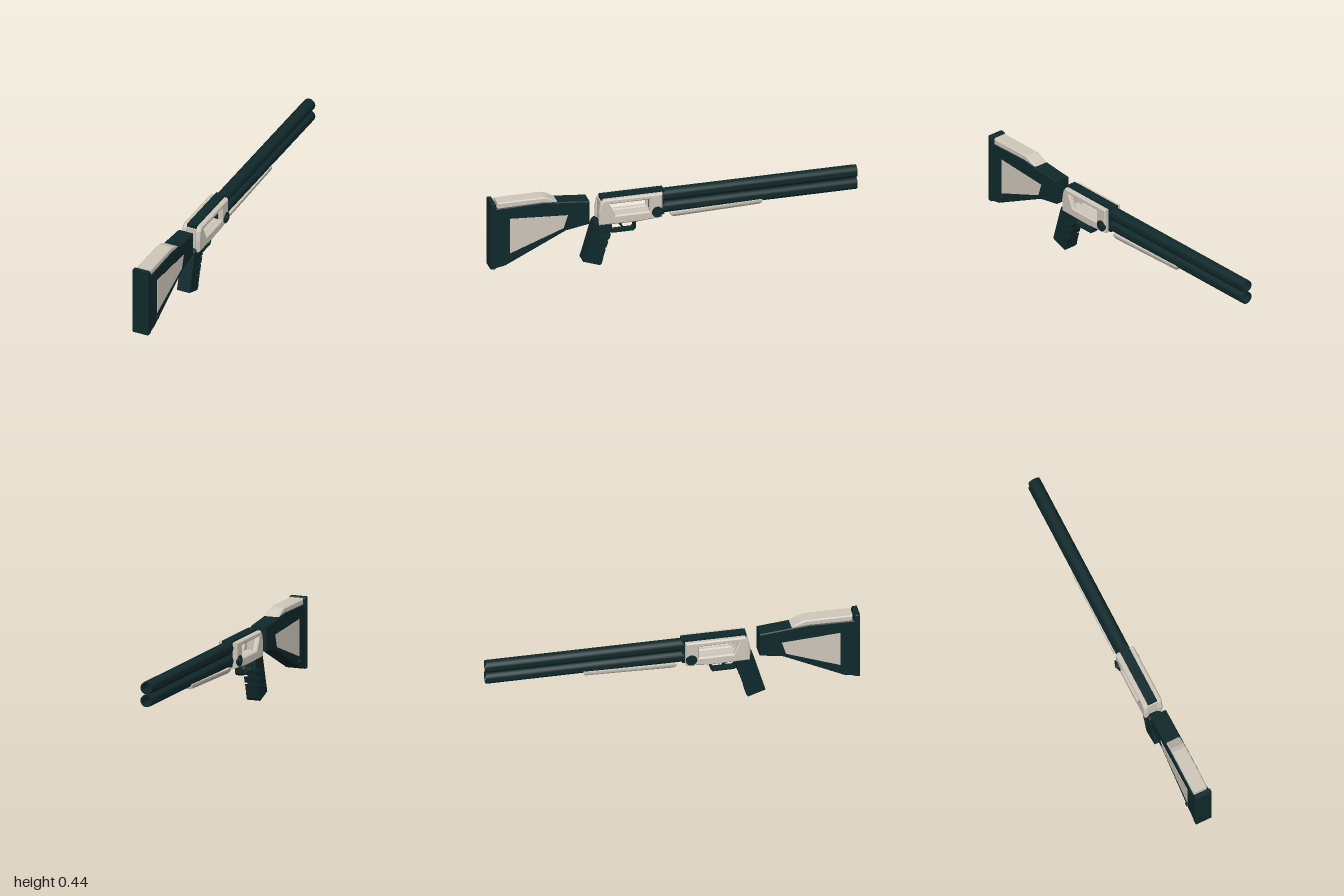
import * as THREE from 'three';
import { toCreasedNormals } from 'three/addons/utils/BufferGeometryUtils.js';

const dark = new THREE.MeshStandardMaterial({ color: 0x10292b });
dark.name = 'dark teal';
const pale = new THREE.MeshStandardMaterial({ color: 0xcfc8bc });
pale.name = 'warm grey';

const toShape = (pts, Kind = THREE.Shape) => new Kind(pts.map(([u, v]) => new THREE.Vector2(u, v)));

// Side profile given as [z, y] points, extruded across x and centred on x
function profile(pts, width, bevel = 0, hole = null) {
  const shape = toShape(pts);
  if (hole) shape.holes.push(toShape(hole, THREE.Path));
  const depth = width - 2 * bevel;
  const geo = new THREE.ExtrudeGeometry(shape, {
    depth, bevelEnabled: bevel > 0, bevelThickness: bevel, bevelSize: bevel,
    bevelOffset: -bevel, bevelSegments: 1, curveSegments: 8,
  });
  geo.translate(0, 0, -depth / 2);
  return geo.rotateY(-Math.PI / 2);
}

export function createModel() {
  const model = new THREE.Group();
  model.name = 'doubleBarrelGun';

  const add = (name, geo, mat, x = 0, y = 0, z = 0) => {
    const mesh = new THREE.Mesh(geo, mat);
    mesh.name = name;
    mesh.position.set(x, y, z);
    model.add(mesh);
    return mesh;
  };
  const box = (name, mat, w, y0, y1, z0, z1) =>
    add(name, new THREE.BoxGeometry(w, y1 - y0, z1 - z0), mat, 0, (y0 + y1) / 2, (z0 + z1) / 2);

  // Over-and-under barrels with hollow muzzles
  const wall = [[0, 0], [0.034, 0], [0.034, 1.05], [0.033, 1.06], [0.026, 1.06], [0.025, 0.8], [0, 0.8]];
  const barrel = toCreasedNormals(
    new THREE.LatheGeometry(wall.map(([r, h]) => new THREE.Vector2(r, h)), 24).rotateX(-Math.PI / 2), 0.6);
  add('upperBarrel', barrel, dark, 0, 0.353, 0.06);
  add('lowerBarrel', barrel, dark, 0, 0.284, 0.06);
  box('barrelRib', dark, 0.024, 0.305, 0.332, -0.96, 0.06);

  // Forend: rounded trough, its underside rising towards the muzzle
  const under = [[-0.038, 0.262], [-0.038, 0.25], [-0.033, 0.239], [-0.022, 0.232],
    [0.022, 0.232], [0.033, 0.239], [0.038, 0.25], [0.038, 0.262]];
  const forend = new THREE.ExtrudeGeometry(toShape(under), { depth: 0.5, bevelEnabled: false });
  forend.translate(0, 0, -0.48);
  const p = forend.attributes.position;
  for (let i = 0; i < p.count; i++) {
    const t = (0.02 - p.getZ(i)) / 0.5;
    if (p.getY(i) < 0.245) p.setZ(i, p.getZ(i) + (t < 0.5 ? -0.02 : 0.01));
    p.setY(i, p.getY(i) + 0.013 * (t - 0.4));
  }
  add('forend', toCreasedNormals(forend, 0.7), pale);

  // Receiver: two windowed side plates around an open centre
  const plate = profile(
    [[0.41, 0.238], [0.412, 0.31], [0.402, 0.36], [0.385, 0.383], [0.065, 0.383], [0.065, 0.245], [0.2, 0.235]],
    0.03, 0.007, [[0.355, 0.355], [0.322, 0.287], [0.137, 0.287], [0.137, 0.355]]);
  for (const side of [1, -1]) add(side > 0 ? 'leftReceiverPlate' : 'rightReceiverPlate', plate, pale, side * 0.038);
  box('receiverFloor', pale, 0.06, 0.237, 0.279, 0.075, 0.4);
  box('receiverBack', pale, 0.06, 0.24, 0.37, 0.368, 0.402);
  box('receiverTopStrap', dark, 0.052, 0.363, 0.39, 0.05, 0.395);
  box('breechBlock', dark, 0.052, 0.25, 0.39, 0.05, 0.127);

  // Hinge pins and sling studs on both sides
  for (const side of [1, -1]) {
    const disc = (name, r, x0, x1, y, z, n) =>
      add(name, new THREE.CylinderGeometry(r, r, x1 - x0, n).rotateZ(Math.PI / 2), dark, side * (x0 + x1) / 2, y, z);
    disc('hingeDisc', 0.03, 0.045, 0.058, 0.28, 0.095, 24);
    disc('hingeCap', 0.02, 0.058, 0.063, 0.28, 0.095, 24);
    disc('hingeBolt', 0.01, 0.063, 0.068, 0.28, 0.095, 6);
    disc('slingStud', 0.011, 0.04, 0.053, 0.112, 0.895, 16);
  }

  // Grip with three finger slots
  add('grip', profile([
    [0.42, 0.255], [0.345, 0.24], [0.338, 0.185], [0.4, 0.173], [0.4, 0.163], [0.344, 0.174],
    [0.352, 0.146], [0.402, 0.132], [0.402, 0.122], [0.358, 0.134],
    [0.368, 0.1], [0.404, 0.09], [0.404, 0.08], [0.372, 0.09],
    [0.384, 0.05], [0.392, 0.012], [0.402, 0], [0.495, 0.032], [0.482, 0.075], [0.442, 0.215], [0.432, 0.245],
  ], 0.074), dark);

  // Trigger guard loop and trigger
  add('triggerGuard', profile(
    [[0.345, 0.238], [0.345, 0.182], [0.33, 0.172], [0.215, 0.172], [0.204, 0.185], [0.2, 0.238]], 0.04, 0,
    [[0.335, 0.228], [0.212, 0.228], [0.214, 0.19], [0.222, 0.183], [0.325, 0.183], [0.334, 0.19]]), dark);
  add('trigger', profile(
    [[0.3, 0.235], [0.27, 0.235], [0.278, 0.21], [0.265, 0.19], [0.272, 0.187], [0.29, 0.208]], 0.014), dark);

  // Stock, butt plate and cheek rest
  add('stock', profile([
    [0.975, 0.405], [0.72, 0.41], [0.64, 0.402], [0.462, 0.385], [0.462, 0.252], [0.59, 0.23],
    [0.92, 0.068], [0.975, 0.058],
  ], 0.09, 0.005), dark);
  add('buttPlate', profile(
    [[1, 0.055], [1, 0.44], [0.976, 0.44], [0.97, 0.43], [0.97, 0.06], [0.975, 0.055]], 0.094, 0.003), dark);
  add('cheekRest', profile(
    [[0.962, 0.4], [0.962, 0.437], [0.71, 0.437], [0.685, 0.43], [0.632, 0.4]], 0.08, 0.006), pale);

  // Pale panels on the stock sides
  const panel = profile([[0.895, 0.34], [0.58, 0.32], [0.603, 0.248], [0.895, 0.138]], 0.004);
  for (const side of [1, -1]) add(side > 0 ? 'leftStockPanel' : 'rightStockPanel', panel, pale, side * 0.0445);

  return model;
}
